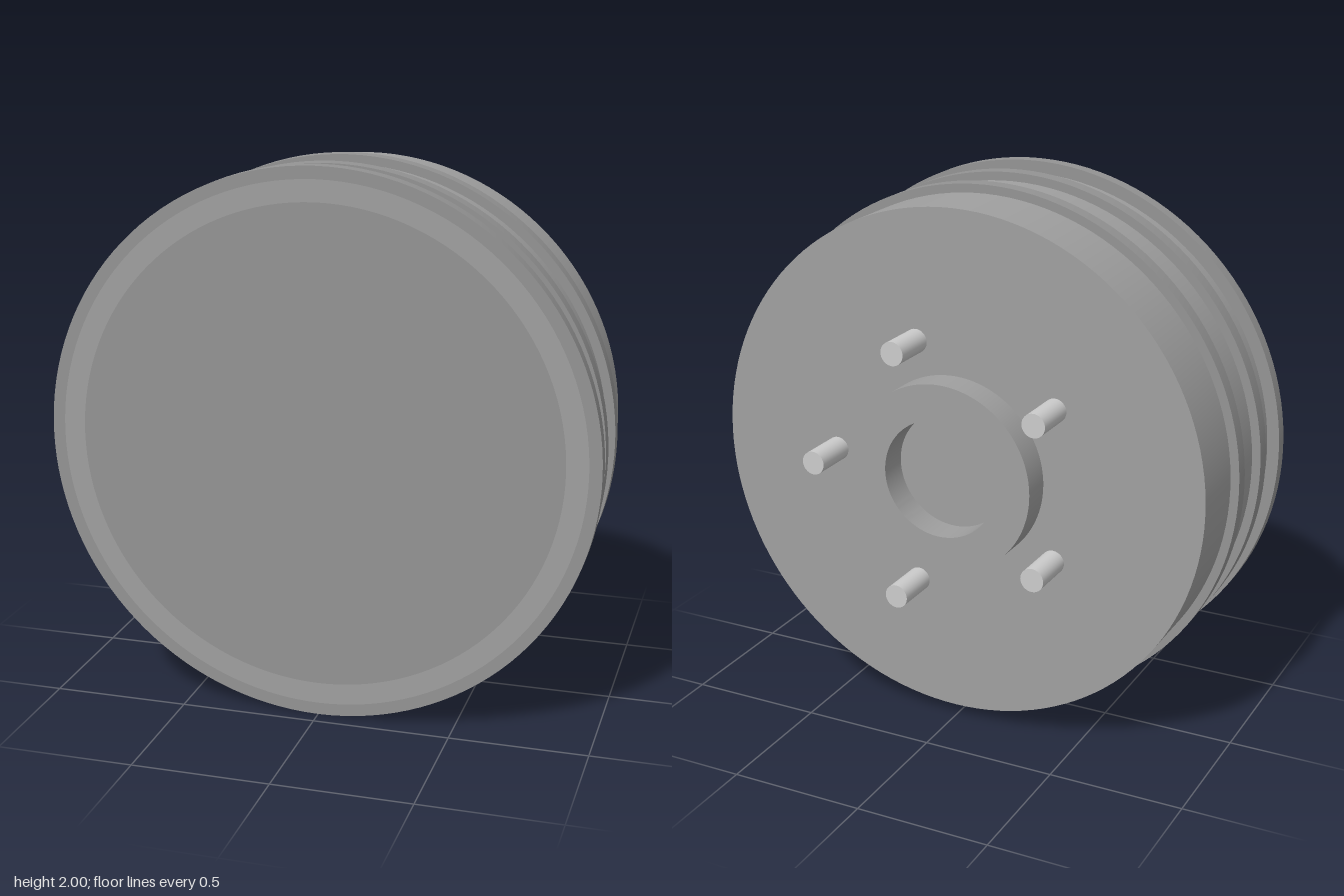
import * as THREE from 'three';
import { toCreasedNormals } from 'three/addons/utils/BufferGeometryUtils.js';

const castIron = new THREE.MeshStandardMaterial({ color: 0xa0a0a0 });
const darkIron = new THREE.MeshStandardMaterial({ color: 0x949494 });
const steel = new THREE.MeshStandardMaterial({ color: 0xcccccc });
const SEGMENTS = 128;

// Revolve a [radius, z] profile around the z axis, keeping hard edges.
function revolve(name, material, profile) {
  const points = profile.map(([r, z]) => new THREE.Vector2(r, z));
  const geometry = new THREE.LatheGeometry(points, SEGMENTS);
  geometry.rotateX(Math.PI / 2);
  const mesh = new THREE.Mesh(toCreasedNormals(geometry, 0.6), material);
  mesh.name = name;
  return mesh;
}

// Square-section rib around the drum, running from z0 to z1.
const rib = (name, z0, z1) =>
  revolve(name, darkIron, [[0.94, z0], [0.987, z0], [0.987, z1], [0.94, z1]]);

export function createModel() {
  const model = new THREE.Group();
  model.name = 'brakeDrum';
  const wheel = new THREE.Group();
  wheel.name = 'drumAssembly';
  wheel.position.y = 1;
  model.add(wheel);

  const drumRadius = 0.955;
  const backFace = -0.267;
  const frontFace = 0.441;

  // Drum body: flat back, side wall, and wall end showing as a ring in the front face
  wheel.add(revolve('drumBody', castIron, [
    [0, backFace], [drumRadius, backFace], [drumRadius, frontFace], [0.877, frontFace],
  ]));

  // Front flange around the drum, and the plate closing its mouth
  wheel.add(revolve('frontFlange', darkIron, [
    [0.94, 0.389], [1, 0.389], [1, frontFace], [drumRadius, frontFace],
  ]));
  wheel.add(revolve('frontPlate', darkIron, [[0.877, frontFace], [0, frontFace]]));

  // Two raised ribs around the drum
  wheel.add(rib('frontRib', 0.216, 0.276));
  wheel.add(rib('rearRib', -0.015, 0.043));

  // Raised hub ring with a central bore
  wheel.add(revolve('hubRing', castIron, [
    [0.22, backFace], [0.22, -0.382], [0.353, -0.382], [0.353, backFace],
  ]));

  // Five wheel studs on a bolt circle
  const studGeometry = new THREE.CylinderGeometry(0.044, 0.044, 0.2, 32);
  studGeometry.rotateX(Math.PI / 2);
  const studs = new THREE.Group();
  studs.name = 'wheelStuds';
  for (let i = 0; i < 5; i++) {
    const angle = (i / 5) * Math.PI * 2;
    const stud = new THREE.Mesh(studGeometry, steel);
    stud.name = 'wheelStud';
    stud.position.set(Math.cos(angle) * 0.486, Math.sin(angle) * 0.486, -0.342);
    studs.add(stud);
  }
  wheel.add(studs);

  return model;
}
